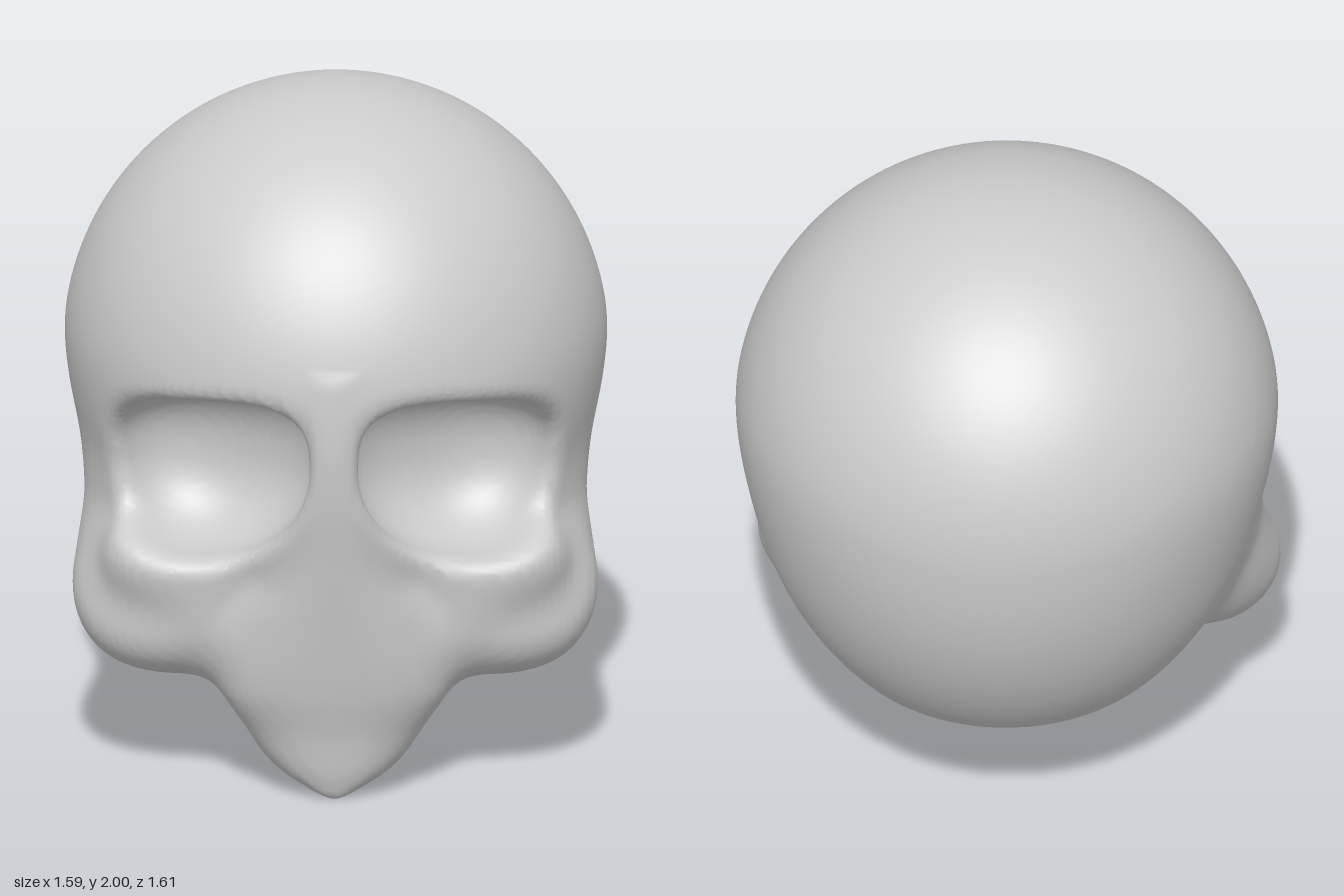
import * as THREE from 'three';

const { smoothstep, clamp } = THREE.MathUtils;

// Smooth union and smooth cut of two distance fields
const join = (a, b, k) => {
  const h = Math.max(k - Math.abs(a - b), 0) / k;
  return Math.min(a, b) - h * h * k * 0.25;
};
const cut = (a, b, k) => -join(-a, b, k);

// Approximate distance to an ellipsoid
const ellipsoid = (x, y, z, rx, ry, rz) =>
  (Math.hypot(x / rx, y / ry, z / rz) - 1) * Math.min(rx, ry, rz);

// Muzzle sections by height: half width, front z, back z
const HEIGHTS = [0, 0.07, 0.2, 0.33, 0.55, 0.75, 1.1, 1.3];
const SECTIONS = [
  0.03, 0.64, 0.57,
  0.165, 0.66, 0.38,
  0.27, 0.68, 0.31,
  0.345, 0.71, 0.27,
  0.29, 0.745, 0.3,
  0.18, 0.77, 0.3,
  0.1, 0.765, 0.4,
  0.04, 0.7, 0.5,
];
const sections = new THREE.CubicInterpolant(HEIGHTS, SECTIONS, 3, new Float32Array(3));

function muzzle(x, y, z) {
  const [w, front, back] = sections.evaluate(clamp(y, 0, 1.3));
  const d = (front - back) / 2;
  const dz = Math.abs(z - (front + back) / 2) / d;
  const side = (((x / w) ** 2.3 + dz ** 2.3) ** (1 / 2.3) - 1) * Math.min(w, d);
  return Math.max(side, -y, y - 1.3);
}

// Eye socket: a squarish bowl turned outwards, its inner end higher
function socket(x, y, z) {
  const dx = x - 0.37, dz = z - 0.6;
  const u = dx * 0.85 - dz * 0.53;
  const n = dx * 0.53 + dz * 0.85;
  const v = y - 0.985 + 0.13 * u - 0.45 * u * u;
  const e = 2.3;
  const q = Math.abs(u / 0.335) ** e + Math.abs(v / 0.25) ** e
    + Math.abs(n / (n > 0 ? 0.7 : 0.27)) ** e;
  return (q ** (1 / e) - 1) * 0.25;
}

// Whole skull, negative inside
function skull(px, y, z) {
  const x = Math.abs(px);
  // braincase: round above, longer below, cut off at the base
  const rx = 0.8 - 0.025 * smoothstep(1.35 - y, 0, 0.45);
  let f = ellipsoid(x, y - 1.2, z, rx, y > 1.2 ? 0.8 : 1, 0.8);
  f = cut(f, y - 0.38, 0.06);
  // cheekbone, its underside rising towards the back, with a fading ridge
  const rise = 0.25 * (0.38 - z);
  f = join(f, ellipsoid(x - 0.51, y - 0.505 - rise, z - 0.31, 0.235, 0.18, 0.24), 0.12);
  f = join(f, ellipsoid(x - 0.6, y - 0.6 - rise, z - 0.2, 0.12, 0.2, 0.17), 0.16);
  // link to the muzzle and the pad below the eye
  f = join(f, ellipsoid(x - 0.34, y - 0.54, z - 0.4, 0.25, 0.2, 0.22), 0.1);
  f = join(f, ellipsoid(x - 0.43, y - 0.7, z - 0.47, 0.23, 0.14, 0.15), 0.1);
  // muzzle
  f = join(f, muzzle(x, y, z), 0.08);
  // hollow under the base, running into the back of the muzzle
  f = cut(f, ellipsoid(x, y - 0.36, z - 0.08, 0.43, 0.16, 0.36), 0.1);
  f = cut(f, ellipsoid(x, y - 0.25, z - 0.31, 0.15, 0.2, 0.13), 0.08);
  return cut(f, socket(x, y, z), 0.06);
}

// Skins a field with one point per crossed grid cell and one quad per crossed edge
function skin(field, min, size, step) {
  const [nx, ny, nz] = size.map((s) => Math.round(s / step) + 1);
  const strides = [1, nx, nx * ny];
  const values = new Float32Array(nx * ny * nz);
  for (let k = 0, i = 0; k < nz; k++) for (let j = 0; j < ny; j++) for (let h = 0; h < nx; h++) {
    values[i++] = field(min[0] + h * step, min[1] + j * step, min[2] + k * step);
  }

  const corners = [0, 1, 2, 3, 4, 5, 6, 7].map((c) => [c & 1, (c >> 1) & 1, c >> 2]);
  const offsets = corners.map((c) => c[0] + c[1] * strides[1] + c[2] * strides[2]);
  const ids = new Int32Array(values.length).fill(-1);
  const points = [], index = [];
  const p = new THREE.Vector3(), g = new THREE.Vector3();

  for (let k = 0; k < nz - 1; k++) for (let j = 0; j < ny - 1; j++) for (let i = 0; i < nx - 1; i++) {
    const cell = i + j * strides[1] + k * strides[2];
    let hits = 0;
    p.set(0, 0, 0);
    for (let c = 0; c < 8; c++) for (let a = 0; a < 3; a++) {
      if (corners[c][a]) continue;
      const v0 = values[cell + offsets[c]];
      const v1 = values[cell + offsets[c] + strides[a]];
      if (v0 < 0 === v1 < 0) continue;
      g.fromArray(corners[c]);
      g.setComponent(a, v0 / (v0 - v1));
      p.add(g);
      hits++;
    }
    if (!hits) continue;
    p.divideScalar(hits);
    p.set(min[0] + (i + p.x) * step, min[1] + (j + p.y) * step, min[2] + (k + p.z) * step);
    // settle the point onto the surface
    for (let n = 0; n < 2; n++) {
      const e = 0.004, f = field(p.x, p.y, p.z);
      g.set(field(p.x + e, p.y, p.z) - f, field(p.x, p.y + e, p.z) - f, field(p.x, p.y, p.z + e) - f);
      g.divideScalar(e);
      g.multiplyScalar(-f / Math.max(g.lengthSq(), 0.05)).clampLength(0, step / 2);
      p.add(g);
    }
    ids[cell] = points.length / 3;
    points.push(p.x, p.y, p.z);
  }

  for (let i = 0; i < values.length; i++) for (let a = 0; a < 3; a++) {
    const inside = values[i] < 0;
    const next = i + strides[a];
    if (next >= values.length || inside === values[next] < 0) continue;
    const b = strides[(a + 1) % 3], c = strides[(a + 2) % 3];
    const q = [ids[i], ids[i - b], ids[i - b - c], ids[i - c]];
    if (!inside) q.reverse();
    index.push(q[0], q[1], q[2], q[0], q[2], q[3]);
  }

  const geo = new THREE.BufferGeometry();
  geo.setAttribute('position', new THREE.Float32BufferAttribute(points, 3));
  geo.setIndex(index);
  geo.computeVertexNormals();
  return geo;
}

export function createModel() {
  const group = new THREE.Group();
  const surface = skin(skull, [-0.9, -0.06, -0.9], [1.8, 2.16, 1.8], 0.02);
  const mesh = new THREE.Mesh(surface, new THREE.MeshStandardMaterial({ color: 0xcccccc }));
  mesh.name = 'skull';
  group.add(mesh);
  return group;
}
